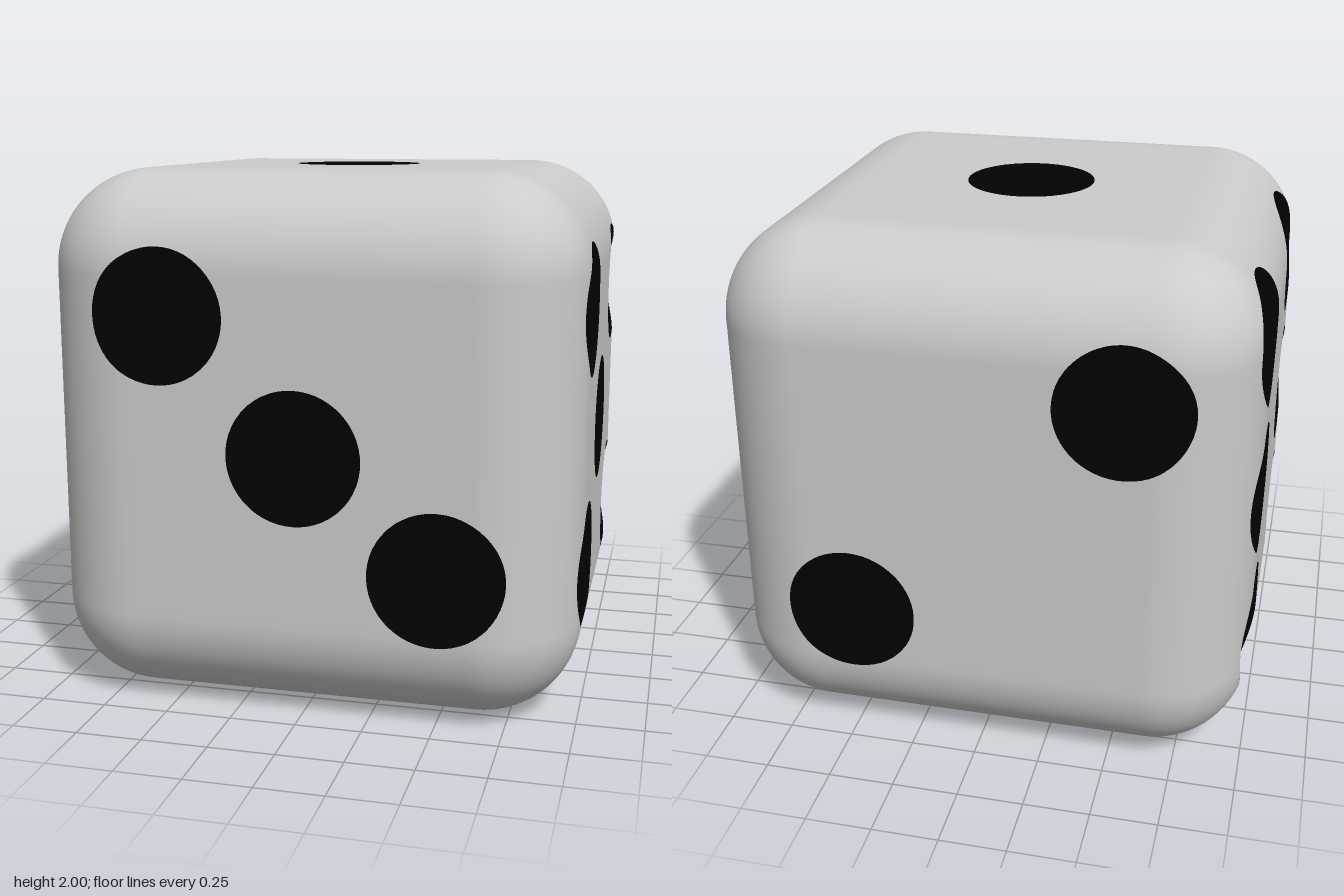
import * as THREE from 'three';

const HALF = 1, RADIUS = 0.37, FLAT = HALF - RADIUS;
const PIP_RADIUS = 0.247, PIP_DEPTH = 0.24;
const CELLS = 72, SNAP = 0.71 * 2 * HALF / CELLS;

// Each face: rotation from +z, and pip centres (right, up) seen from outside
const Q = Math.PI / 2;
const FACES = [
  { name: 'front', rot: [0, 0], pips: [[-0.5, 0.49], [0, 0], [0.515, -0.41]] },
  { name: 'left', rot: [0, Q], pips: [[-0.48, 0.495], [0.55, 0.487], [0, 0], [-0.48, -0.48], [0.55, -0.475]] },
  { name: 'back', rot: [0, 2 * Q], pips: [[0.54, 0.49], [-0.47, -0.42]] },
  { name: 'right', rot: [0, -Q], pips: [-0.515, 0.49].flatMap(u => [0.62, 0.025, -0.58].map(v => [u, v])) },
  { name: 'top', rot: [-Q, 0], pips: [[0, 0]] },
  { name: 'bottom', rot: [Q, 0], pips: [[0.51, -0.62], [-0.51, -0.62], [0.475, 0.545], [-0.535, 0.545]] },
];

// How far a coordinate reaches past the flat part of a face
const overhang = t => Math.sign(t) * Math.max(Math.abs(t) - FLAT, 0);

// One face of the rounded cube, split into its shell and its round hollows
function faceGeometries(pips) {
  const positions = [], normals = [], hollow = [];
  for (let j = 0; j <= CELLS; j++) {
    for (let i = 0; i <= CELLS; i++) {
      // Round a point of the plain cube face
      const a = HALF * (2 * i / CELLS - 1), b = HALF * (2 * j / CELLS - 1);
      const k = RADIUS / Math.hypot(overhang(a), overhang(b), RADIUS);
      let x = a + overhang(a) * (k - 1), y = b + overhang(b) * (k - 1);
      let depth = 0, inside = false;
      // Snap points near a rim onto it and sink those within it to a bowl
      for (const [u, v] of pips) {
        const d = Math.hypot(x - u, y - v);
        if (d >= PIP_RADIUS + SNAP) continue;
        const angle = d > PIP_RADIUS - SNAP ? Q : Q * d / PIP_RADIUS;
        const scale = d > 0 ? PIP_RADIUS * Math.sin(angle) / d : 0;
        x = u + (x - u) * scale;
        y = v + (y - v) * scale;
        depth = PIP_DEPTH * Math.cos(angle);
        inside = true;
        break;
      }
      const qx = overhang(x), qy = overhang(y);
      const qz = Math.sqrt(RADIUS * RADIUS - qx * qx - qy * qy);
      positions.push(x, y, FLAT + qz - depth);
      normals.push(qx / RADIUS, qy / RADIUS, qz / RADIUS);
      hollow.push(inside);
    }
  }

  // Triangles that lie wholly within a rim belong to a hollow
  const shellIndex = [], pipIndex = [];
  for (let j = 0; j < CELLS; j++) {
    for (let i = 0; i < CELLS; i++) {
      const p = j * (CELLS + 1) + i, q = p + CELLS + 1;
      for (const tri of [[p, p + 1, q + 1], [p, q + 1, q]]) {
        (tri.every(n => hollow[n]) ? pipIndex : shellIndex).push(...tri);
      }
    }
  }
  const build = index => {
    const geo = new THREE.BufferGeometry();
    geo.setAttribute('position', new THREE.Float32BufferAttribute(positions, 3));
    geo.setIndex(index);
    return geo;
  };
  const shell = build(shellIndex), hollows = build(pipIndex);
  shell.setAttribute('normal', new THREE.Float32BufferAttribute(normals, 3));
  hollows.computeVertexNormals();
  return [shell.toNonIndexed(), hollows.toNonIndexed()];
}

export function createModel() {
  const model = new THREE.Group();
  model.name = 'die';
  const grey = new THREE.MeshStandardMaterial({ color: 0xcccccc });
  const black = new THREE.MeshStandardMaterial({ color: 0x020202 });

  // Six rounded faces with black hollow pips
  for (const { name, rot, pips } of FACES) {
    const face = new THREE.Group();
    face.name = name + 'Face';
    face.position.y = HALF;
    face.rotation.set(rot[0], rot[1], 0);
    const [shellGeo, pipGeo] = faceGeometries(pips);
    const shell = new THREE.Mesh(shellGeo, grey);
    shell.name = name + 'Shell';
    const hollows = new THREE.Mesh(pipGeo, black);
    hollows.name = name + 'Pips';
    face.add(shell, hollows);
    model.add(face);
  }
  return model;
}
